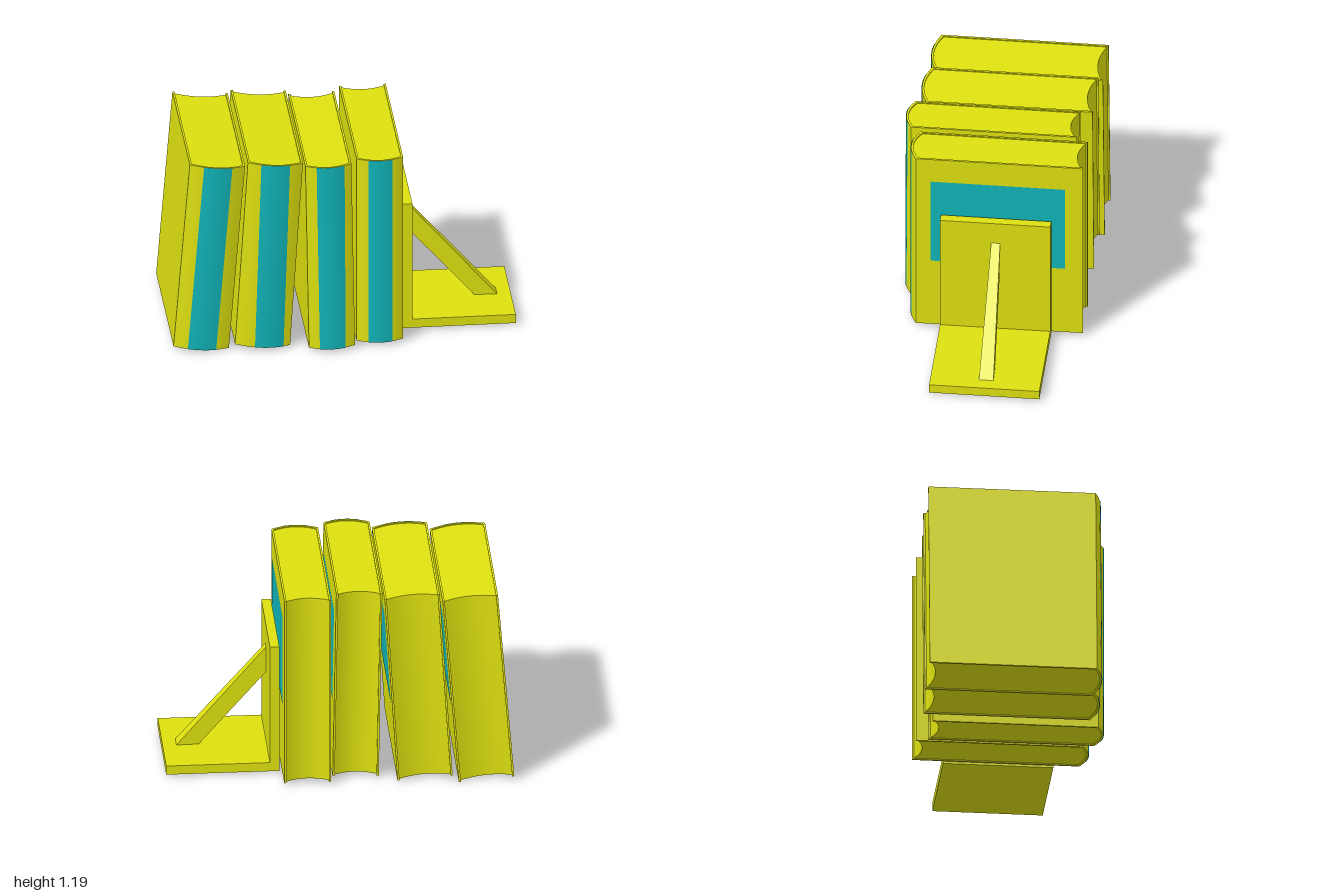
import * as THREE from 'three';
import { toCreasedNormals } from 'three/addons/utils/BufferGeometryUtils.js';

const yellow = new THREE.MeshStandardMaterial({ color: 0xdde00f });
const teal = new THREE.MeshStandardMaterial({ color: 0x10b4b8, side: THREE.DoubleSide });

const HEIGHT = 1.165, COVER = 0.012, BULGE = 0.04;

function addMesh(parent, name, geometry, material) {
  const mesh = new THREE.Mesh(geometry, material);
  mesh.name = name;
  parent.add(mesh);
  return mesh;
}

// Shallow bowed line from x0 to x1 whose middle stands out by rise
function bow(x0, x1, z, rise, n = 16) {
  return Array.from({ length: n + 1 }, (_, i) => {
    const t = i / n;
    return [x0 + (x1 - x0) * t, z + rise * 4 * t * (1 - t)];
  });
}

// Upright prism from an x/z outline
function prism(outline, y0, height) {
  const shape = new THREE.Shape(outline.map(([x, z]) => new THREE.Vector2(x, -z)));
  const g = new THREE.ExtrudeGeometry(shape, { depth: height, bevelEnabled: false });
  g.rotateX(-Math.PI / 2).translate(0, y0, 0);
  return toCreasedNormals(g, 0.4);
}

// Local origin is the bottom left corner; stripe = [left, right] at bottom and at top
function makeBook({ x, y, w, back, front, lean, bottom, top }) {
  const book = new THREE.Group();
  book.name = 'book';
  const corner = front - BULGE;

  // Wrapped cover: two boards and a bowed spine
  const cover = [
    [0, back], ...bow(0, w, corner, BULGE), [w, back], [w - COVER, back],
    ...bow(w - COVER, COVER, corner - COVER, BULGE), [COVER, back],
  ];
  addMesh(book, 'cover', prism(cover, 0, HEIGHT), yellow);

  // Page block with a hollow fore edge
  const pages = [
    ...bow(COVER, w - COVER, corner - COVER, BULGE),
    ...bow(w - COVER, COVER, back + 0.01, 0.035),
  ];
  addMesh(book, 'pages', prism(pages, 0.006, HEIGHT - 0.012), yellow);

  // Stripe following the spine
  const stripe = new THREE.PlaneGeometry(1, 1, 10, 4);
  const p = stripe.attributes.position;
  for (let i = 0; i < p.count; i++) {
    const u = p.getX(i) + 0.5, v = p.getY(i) + 0.5;
    const l = THREE.MathUtils.lerp(bottom[0], top[0], v);
    const r = THREE.MathUtils.lerp(bottom[1], top[1], v);
    const px = l + (r - l) * u, t = px / w;
    p.setXYZ(i, px, v * HEIGHT, corner + BULGE * 4 * t * (1 - t) + 0.003);
  }
  stripe.computeVertexNormals();
  addMesh(book, 'spineStripe', stripe, teal);

  // Panel on the right-hand board
  const z0 = back + 0.105, z1 = front - 0.125;
  const panel = addMesh(book, 'coverPanel', new THREE.PlaneGeometry(z1 - z0, 0.56), teal);
  panel.rotation.y = Math.PI / 2;
  panel.position.set(w + 0.002, 0.73, (z0 + z1) / 2);

  book.position.set(x, y, 0);
  book.rotation.z = -lean;
  return book;
}

// Box given by its limits
function addBox(parent, name, [x0, x1], [y0, y1], [z0, z1]) {
  const mesh = addMesh(parent, name, new THREE.BoxGeometry(x1 - x0, y1 - y0, z1 - z0), yellow);
  mesh.position.set((x0 + x1) / 2, (y0 + y1) / 2, (z0 + z1) / 2);
}

function makeBookend() {
  const bookend = new THREE.Group();
  bookend.name = 'bookend';
  addBox(bookend, 'uprightPlate', [0.345, 0.4], [0.018, 0.813], [-0.348, 0.292]);
  addBox(bookend, 'basePlate', [0.4, 1], [0.018, 0.073], [-0.348, 0.292]);

  // Slanted brace, wider towards the foot
  const outline = [[0.4, 0.515], [0.79, 0.073], [0.92, 0.073], [0.4, 0.675]];
  const shape = new THREE.Shape(outline.map(([x, y]) => new THREE.Vector2(x, y)));
  const g = new THREE.ExtrudeGeometry(shape, { depth: 1, bevelEnabled: false });
  const p = g.attributes.position;
  for (let i = 0; i < p.count; i++) {
    const half = THREE.MathUtils.mapLinear(p.getX(i), 0.4, 0.92, 0.026, 0.042);
    p.setZ(i, -0.031 + (p.getZ(i) * 2 - 1) * half);
  }
  g.computeVertexNormals();
  addMesh(bookend, 'brace', g, yellow);
  return bookend;
}

export function createModel() {
  const model = new THREE.Group();
  model.name = 'booksWithBookend';
  const books = [
    { x: -1, y: 0.031, w: 0.322, back: -0.55, front: 0.46, lean: 0.081, bottom: [0.08, 0.245], top: [0.08, 0.245] },
    { x: -0.645, y: 0.036, w: 0.32, back: -0.525, front: 0.48, lean: 0.064, bottom: [0.112, 0.28], top: [0.075, 0.242] },
    { x: -0.222, y: 0.022, w: 0.267, back: -0.46, front: 0.54, lean: -0.018, bottom: [0.06, 0.21], top: [0.062, 0.225] },
    { x: 0.06, y: 0.025, w: 0.27, back: -0.53, front: 0.48, lean: 0, bottom: [0.066, 0.206], top: [0.066, 0.206] },
  ];
  books.forEach((b) => model.add(makeBook(b)));
  model.add(makeBookend());
  return model;
}
